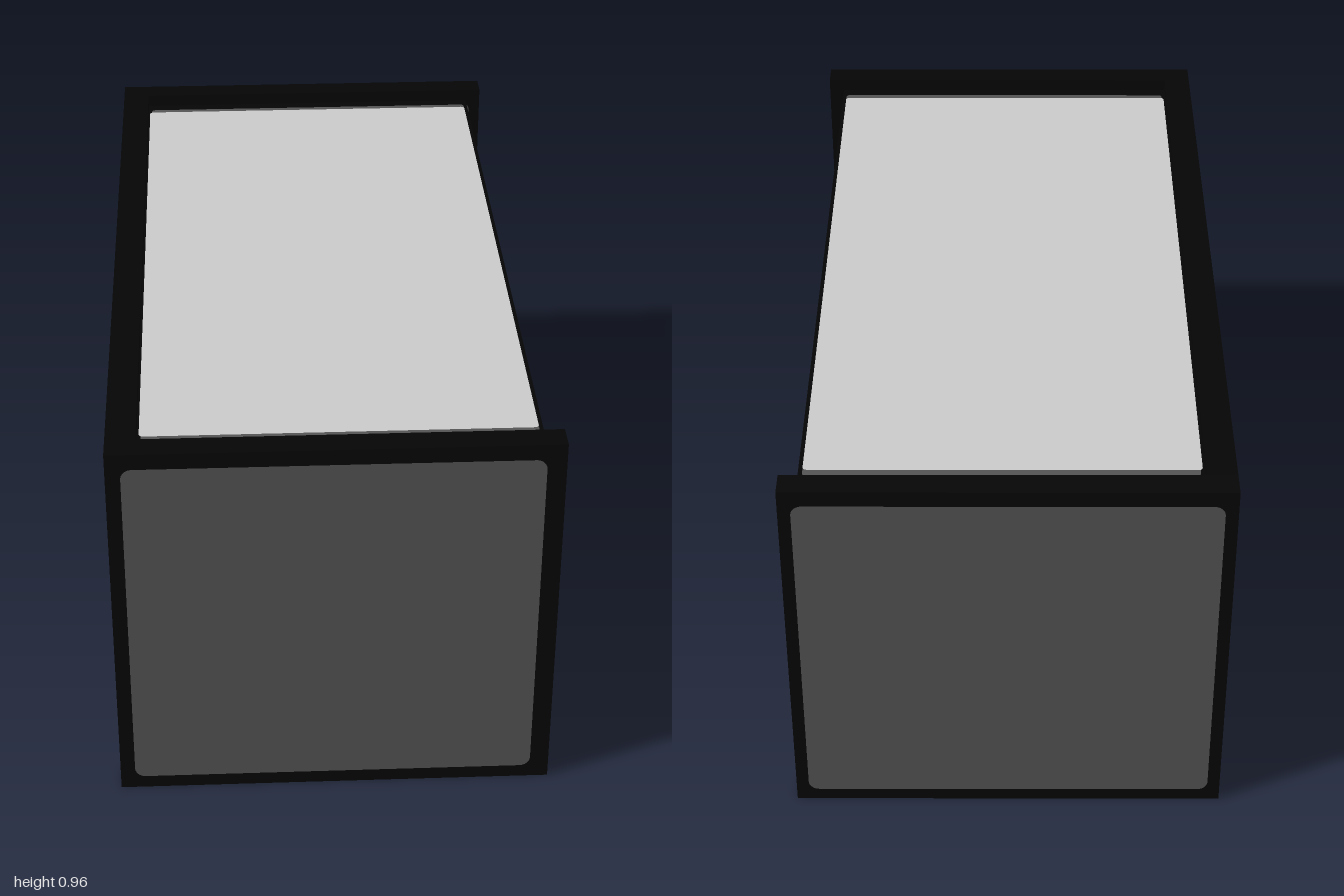
import * as THREE from 'three';

const material = (name, color) => Object.assign(new THREE.MeshStandardMaterial({ color }), { name });

export function createModel() {
  const black = material('black frame', 0x050505);
  const gray = material('gray panel', 0x545454);
  const light = material('light gray top', 0xcacaca);

  const desk = new THREE.Group();
  desk.name = 'desk';

  // Box given by its lower and upper corners
  const board = (name, [x0, y0, z0], [x1, y1, z1]) => {
    const mesh = new THREE.Mesh(new THREE.BoxGeometry(x1 - x0, y1 - y0, z1 - z0), black);
    mesh.position.set((x0 + x1) / 2, (y0 + y1) / 2, (z0 + z1) / 2);
    mesh.name = name;
    desk.add(mesh);
  };

  // Flat inlay with rounded corners, facing +z until rotated
  const inlay = (name, w, h, r, mat, position, rotation) => {
    const s = new THREE.Shape();
    const a = w / 2, b = h / 2;
    s.moveTo(-a + r, -b).lineTo(a - r, -b);
    s.absarc(a - r, -b + r, r, -Math.PI / 2, 0);
    s.absarc(a - r, b - r, r, 0, Math.PI / 2);
    s.absarc(-a + r, b - r, r, Math.PI / 2, Math.PI);
    s.absarc(-a + r, -b + r, r, Math.PI, Math.PI * 1.5);
    const mesh = new THREE.Mesh(new THREE.ShapeGeometry(s, 6), mat);
    mesh.position.set(...position);
    mesh.rotation.set(...rotation);
    mesh.name = name;
    desk.add(mesh);
  };

  const gap = 0.002;
  const quarter = Math.PI / 2;

  // End panels, with an inlay on both faces
  for (const [side, width, x] of [[1, 0.96, -0.005], [-1, 0.98, 0]]) {
    const z = side * 0.9675;
    board('endPanel', [-0.52, 0, z - 0.0325], [0.52, 0.96, z + 0.0325]);
    for (const face of [1, -1]) {
      inlay('endPanelInlay', width, 0.887, 0.025, gray,
        [x, 0.478, z + face * (0.0325 + gap)], [0, face > 0 ? 0 : Math.PI, 0]);
    }
  }

  // Desktop, set slightly below the rims of the other panels
  const top = 0.928, underside = 0.855;
  board('desktop', [-0.45, underside, -0.935], [0.48, top, 0.935]);
  inlay('desktopBorder', 0.91, 1.8, 0.01, gray, [0.015, top + gap, 0], [-quarter, 0, 0]);
  inlay('desktopInlay', 0.915, 1.76, 0.01, light, [0.0125, top + 2 * gap, 0], [-quarter, 0, 0]);
  inlay('undersideInlay', 0.91, 1.82, 0.02, light, [0.01, underside - gap, 0], [quarter, 0, 0]);

  // Back panel, rising past the desktop to form a rim
  board('backPanel', [-0.52, 0.385, -0.935], [-0.45, 0.96, 0.935]);
  inlay('backPanelOuterInlay', 1.865, 0.452, 0.015, gray, [-0.52 - gap, 0.626, 0], [0, -quarter, 0]);
  inlay('backPanelInnerInlay', 1.865, 0.452, 0.015, gray, [-0.45 + gap, 0.626, 0], [0, quarter, 0]);

  return desk;
}
